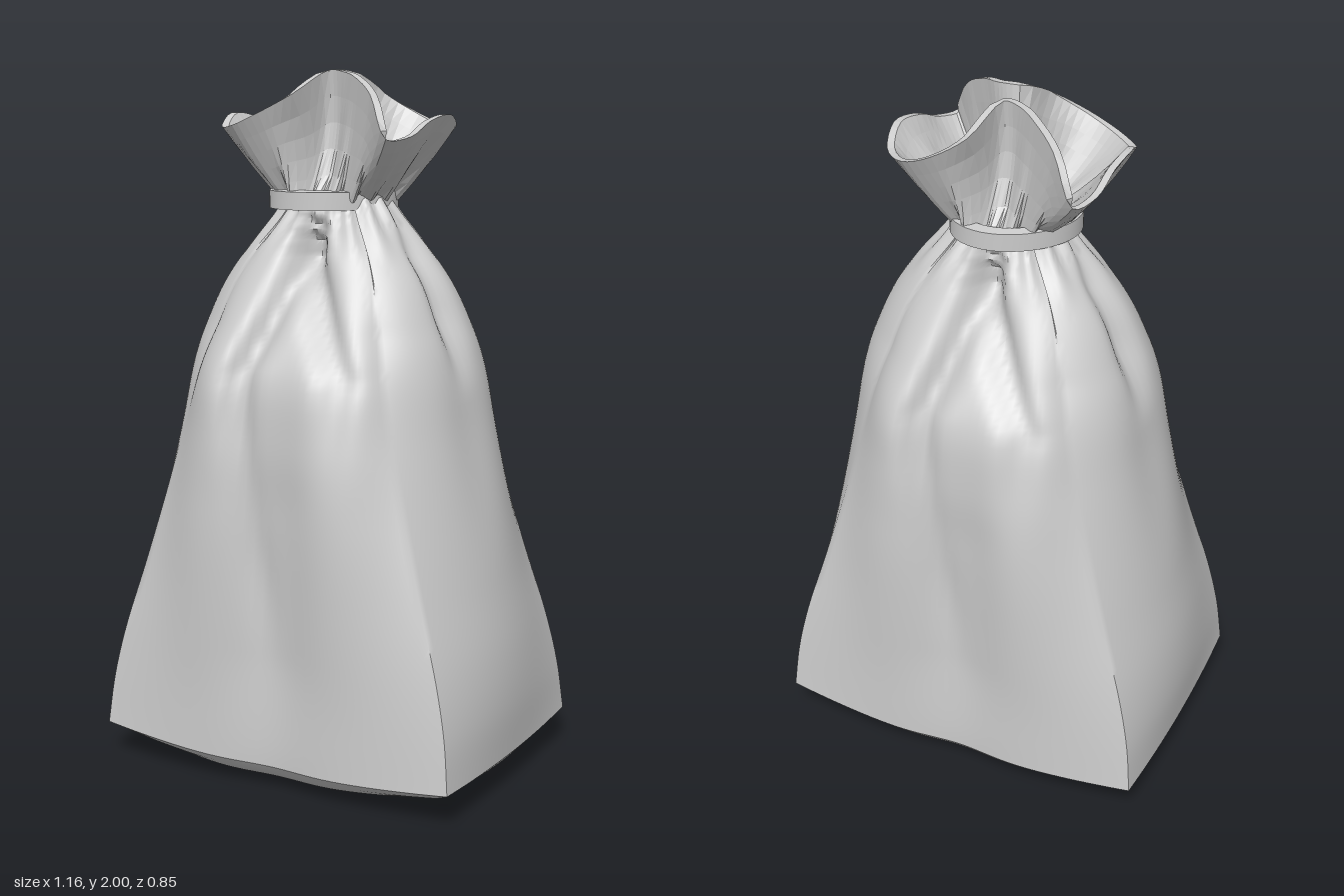
import * as THREE from 'three';
import { toCreasedNormals } from 'three/addons/utils/BufferGeometryUtils.js';

// Closed loft: n points around, rows 0..m, point(u, v) gives [x, y, z]
function loft(n, m, point) {
  const pos = [], idx = [];
  for (let j = 0; j <= m; j++)
    for (let i = 0; i < n; i++) pos.push(...point(i / n, j / m));
  for (let j = 0; j < m; j++)
    for (let i = 0; i < n; i++) {
      const a = j * n + i, b = j * n + ((i + 1) % n);
      idx.push(a, b, b + n, a, b + n, a + n);
    }
  const geo = new THREE.BufferGeometry();
  geo.setAttribute('position', new THREE.Float32BufferAttribute(pos, 3));
  geo.setIndex(idx);
  return geo;
}

const gauss = (d, w) => Math.exp(-(d * d) / (w * w));
const smooth = THREE.MathUtils.smoothstep;
const lerp = THREE.MathUtils.lerp;
const clamp = THREE.MathUtils.clamp;

// Sack outline: half width, height, half depth
const outline = new THREE.CatmullRomCurve3([
  [0.56, 0.1, 0.395], [0.566, 0.25, 0.398], [0.555, 0.4, 0.4], [0.52, 0.6, 0.4],
  [0.485, 0.8, 0.4], [0.45, 1.0, 0.4], [0.42, 1.18, 0.39], [0.395, 1.28, 0.355],
  [0.345, 1.4, 0.295], [0.275, 1.5, 0.235], [0.185, 1.6, 0.165], [0.14, 1.66, 0.135],
].map((p) => new THREE.Vector3(...p)));

// Square perimeter blended towards a circle, with folds pressed into the faces
function sackPoint(u, v) {
  const { x: hx, y, z: hz } = outline.getPoint(v);
  const side = Math.floor(u * 4 + 1e-9), t = (u * 4 - side) * 2 - 1;
  const [px, pz] = [[t, 1], [1, -t], [-t, -1], [-1, t]][side];
  const [nx, nz] = [[0, 1], [1, 0], [0, -1], [-1, 0]][side];
  const len = Math.hypot(px, pz);
  const round = clamp((y - 0.1) / 1.05, 0, 1.14);
  let x = lerp(px, px / len, round) * hx, z = lerp(pz, pz / len, round) * hz;
  const broad = side % 2 === 0;
  const s = broad ? nz * x : -nx * z;
  let push = (broad ? 0.028 : 0.012) * (1 - t * t) * (1 - smooth(y, 1.1, 1.5));
  if (broad) {
    // Two full lobes either side of the middle
    const lobe = smooth(y, 0.2, 0.8) * (1 - smooth(y, 1.1, 1.4)) * (1 - t ** 4);
    push += 0.026 * lobe * gauss(Math.abs(s) - 0.23, 0.15);
    // Creases spreading downwards from the pinch in an inverted V
    const spread = clamp((1.5 - y) / 0.32, 0, 1);
    const left = y > 1.17 ? -0.1 * spread : lerp(-0.02, -0.1, smooth(y, 0.35, 1.17));
    const deep = smooth(y, 0.8, 1.4) * (1 - smooth(y, 1.48, 1.64));
    const low = smooth(y, 0.3, 0.7) * (1 - smooth(y, 1.2, 1.4));
    push -= 0.045 * gauss(s - 0.01, 0.14) * (0.5 + 0.5 * smooth(y, 0.1, 0.4)) * (1 - 0.4 * smooth(y, 0.8, 1.2));
    push -= (0.055 * deep + 0.022 * low) * gauss(s - left, 0.045);
    push -= 0.055 * deep * gauss(s - 0.2 * spread, 0.05);
    push -= 0.03 * smooth(y, 0.9, 1.3) * (1 - smooth(y, 1.4, 1.6)) * gauss(s - 0.04, 0.14);
    push += 0.008 * Math.sin(y * 130 + s * 40) * gauss(s, 0.06) * gauss(y - 1.56, 0.06);
  } else {
    push -= 0.04 * smooth(y, 1.1, 1.35) * (1 - smooth(y, 1.48, 1.62)) * gauss(s + 0.025, 0.04);
    push -= 0.02 * smooth(y, 0.6, 1.1) * (1 - smooth(y, 1.3, 1.5)) * gauss(s + 0.04, 0.1);
  }
  x += nx * push;
  z += nz * push;
  // Gathers under the tie
  const gather = 1 + 0.05 * smooth(y, 1.46, 1.62) * Math.cos(18 * Math.atan2(x, z));
  // Lower seam sags between the corners
  const sag = (broad ? 0.025 : 0.006) * (1 - t * t) * (1 - smooth(y, 0.1, 0.3));
  return [x * gather, y - sag, z * gather];
}

// Cushioned underside, from the centre out to the lower seam, with corners drawn in
const baseRows = [[0, 0], [0.4, 0.002], [0.68, 0.01], [0.82, 0.023], [0.9, 0.043], [0.96, 0.072], [1, 0.1]];
function basePoint(u, v) {
  const [scale, height] = baseRows[Math.round(v * (baseRows.length - 1))];
  const [x, y, z] = sackPoint(u, 0);
  const corner = ((x * z) / (0.56 * 0.395)) ** 2;
  const k = scale * (1 - 0.16 * corner * Math.min(1, (1 - scale) * 8));
  return [x * k, height * y / 0.1, z * k];
}

// Half of the wavy mouth; the other half is the same turned by 180 degrees
const mouthHalf = [
  [0.01, 2.0, 0.07], [0.06, 1.995, 0.078], [0.12, 1.98, 0.12], [0.2, 1.935, 0.18],
  [0.28, 1.82, 0.238], [0.314, 1.825, 0.16], [0.322, 1.865, 0.06], [0.327, 1.88, -0.05],
  [0.295, 1.845, -0.15], [0.215, 1.85, -0.22], [0.12, 1.885, -0.235], [0.035, 1.935, -0.195],
];
const mouth = new THREE.CatmullRomCurve3(
  [...mouthHalf, ...mouthHalf.map(([x, y, z]) => [-x, y, -z])].map((p) => new THREE.Vector3(...p)), true);

// Neck drawn in on the diagonal where the mouth is pinched
const neckShape = (a) => 1 - 0.08 * Math.sin(2 * a);

// Frill rows [share of the way to the lip, neck radius, neck height, inset]:
// up the outside, over the lip, down the inside, closed at the gathered centre
const steps = [0, 0.2, 0.4, 0.6, 0.8, 1];
const frillRows = [
  ...steps.map((t) => [t, 0.14, 1.64, 0]),
  ...[...steps].reverse().map((t) => [t, 0.105, 1.665, 0.02]),
  [0, 0, 1.64, 0],
];
function frillPoint(u, v) {
  const [t, radius, base, inset] = frillRows[Math.round(v * (frillRows.length - 1))];
  const rim = mouth.getPoint(u), tan = mouth.getTangent(u);
  const flat = Math.hypot(tan.x, tan.z) || 1;
  const rx = rim.x + tan.z / flat * inset, rz = rim.z - tan.x / flat * inset;
  const a = u * Math.PI * 2;
  const pleat = 1 + 0.12 * Math.cos(16 * a) + 0.05 * Math.sin(10 * a);
  const neck = radius * pleat * neckShape(a);
  const f = t + 0.25 * t * (1 - t);
  // Front and back folds lean in towards each other below the lip
  const pinch = gauss(Math.sin(a), 0.35);
  const lean = 1 - pinch * 1.8 * t * (1 - t);
  return [
    lerp(neck * Math.sin(a), rx, f),
    lerp(base, rim.y, t),
    lerp(neck * Math.cos(a), rz, f) * lean,
  ];
}

// Flat tie: a rectangular section swept round a slightly uneven loop
const tieSection = [[0.8, 1.622], [1, 1.618], [1, 1.668], [0.8, 1.672], [0.8, 1.622]];
function tiePoint(u, v) {
  const [k, y] = tieSection[Math.round(v * 4)];
  const a = u * Math.PI * 2, r = k * neckShape(a);
  return [-0.015 + 0.172 * r * Math.sin(a), y, 0.17 * r * Math.cos(a)];
}

export function createModel() {
  const group = new THREE.Group();
  const add = (name, geometry, options = {}) => {
    const material = new THREE.MeshStandardMaterial({ color: 0xcccccc, ...options });
    const mesh = new THREE.Mesh(geometry, material);
    mesh.name = name;
    group.add(mesh);
  };
  add('sackBody', toCreasedNormals(loft(144, 72, sackPoint), 1), { side: THREE.DoubleSide });
  add('sackBase', toCreasedNormals(loft(144, baseRows.length - 1, basePoint), 0.7), { side: THREE.DoubleSide });
  add('frill', loft(96, frillRows.length - 1, frillPoint), { flatShading: true, side: THREE.DoubleSide });
  add('tie', toCreasedNormals(loft(48, 4, tiePoint), 0.6));
  return group;
}
